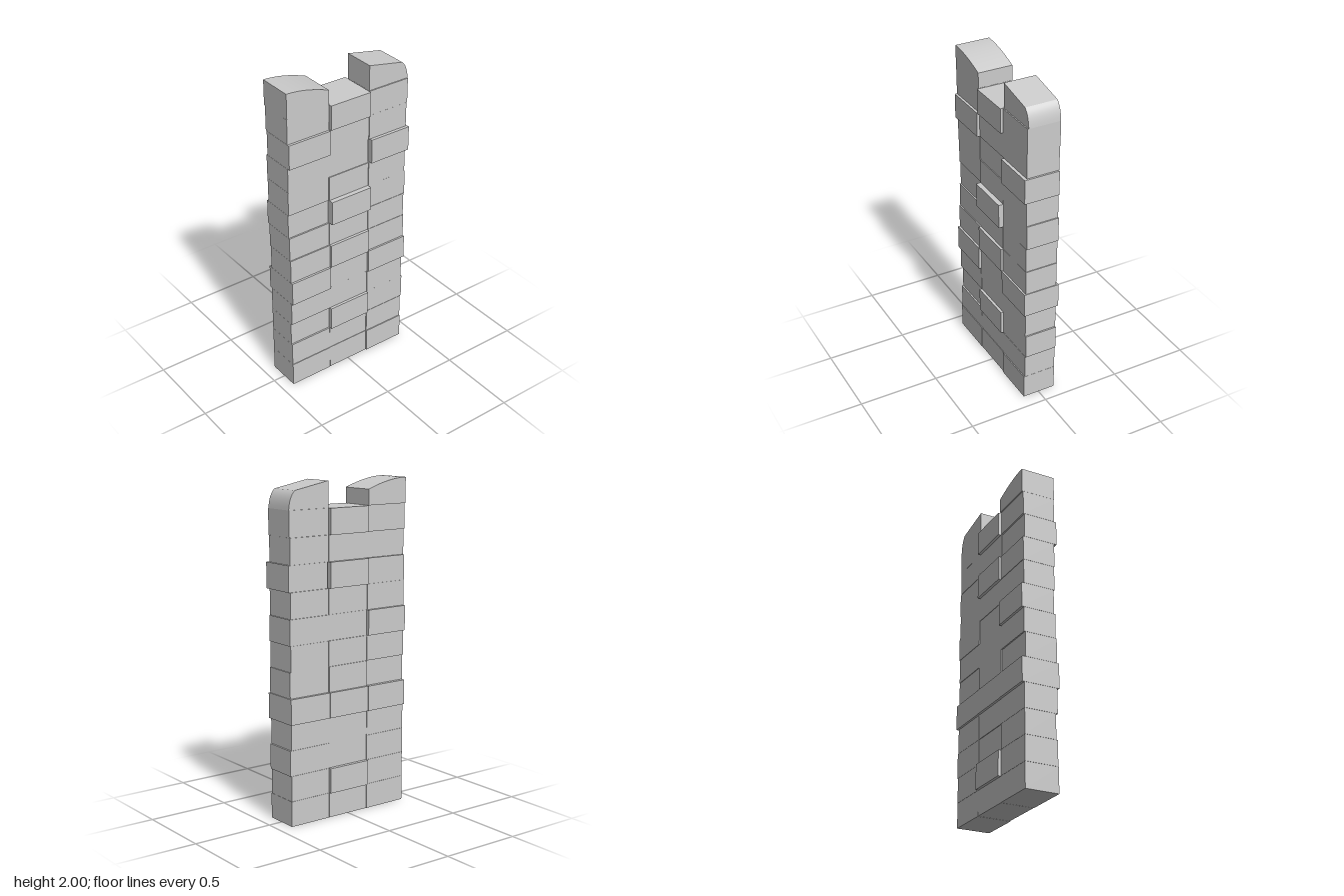
import * as THREE from 'three';
import { toCreasedNormals } from 'three/addons/utils/BufferGeometryUtils.js';

const COURSE = 2 / 13; // height of one course of bricks

// Each column: z range, usual x range, and bricks that stand out or sit back [x min, x max, z min, z max]
const COLUMNS = [
  {
    name: 'front', z: [0.142, 0.422], x: [-0.11, 0.098], courses: 12,
    odd: {
      1: [-0.11, 0.095], 2: [-0.11, 0.086], 4: [-0.124, 0.112], 5: [-0.103, 0.1],
      6: [-0.11, 0.094], 7: [-0.124, 0.086], 8: [-0.11, 0.092], 9: [-0.112, 0.095],
      10: [-0.102, 0.112], 11: [-0.11, 0.098],
    },
  },
  {
    name: 'middle', z: [-0.14, 0.14], x: [-0.108, 0.096], courses: 12,
    odd: {
      1: [-0.125, 0.094], 2: [-0.105, 0.112], 4: [-0.122, 0.097], 5: [-0.11, 0.112],
      7: [-0.106, 0.125], 9: [-0.125, 0.092], 11: [-0.126, 0.112, -0.138, 0.136],
    },
  },
  {
    name: 'back', z: [-0.412, -0.143], x: [-0.108, 0.097], courses: 12,
    odd: {
      0: [-0.108, 0.102], 2: [-0.108, 0.096, -0.42, -0.143], 4: [-0.12, 0.108, -0.42, -0.143],
      5: [-0.105, 0.098, -0.416, -0.143], 7: [-0.11, 0.096, -0.418, -0.143],
      9: [-0.106, 0.115, -0.422, -0.15], 11: [-0.108, 0.098, -0.416, -0.143],
    },
  },
];

export function createModel() {
  const wall = new THREE.Group();
  wall.name = 'brickPillar';
  const stone = new THREE.MeshStandardMaterial({ color: 0xcccccc });

  const add = (parent, geometry, name) => {
    const mesh = new THREE.Mesh(geometry, stone);
    mesh.name = name;
    parent.add(mesh);
    return mesh;
  };

  // Stacked bricks
  for (const col of COLUMNS) {
    const group = new THREE.Group();
    group.name = `${col.name}Column`;
    wall.add(group);
    for (let i = 0; i < col.courses; i++) {
      const [x0, x1, z0 = col.z[0], z1 = col.z[1]] = col.odd[i] ?? col.x;
      const brick = add(group, new THREE.BoxGeometry(x1 - x0, COURSE - 0.001, z1 - z0), `${col.name}Brick${i + 1}`);
      brick.position.set((x0 + x1) / 2, (i + 0.5) * COURSE, (z0 + z1) / 2);
    }
  }

  // Worn top stones: a z-y profile swept across x
  const addCap = (profile, x0, x1, name) => {
    const geometry = new THREE.ExtrudeGeometry(profile, { depth: x1 - x0, bevelEnabled: false, curveSegments: 8 });
    geometry.rotateY(-Math.PI / 2).translate(x1, 0, 0);
    add(wall, toCreasedNormals(geometry, 0.35), name);
  };
  const base = 12 * COURSE;

  const frontProfile = new THREE.Shape();
  frontProfile.moveTo(0.142, base);
  frontProfile.lineTo(0.422, base);
  frontProfile.lineTo(0.422, 2);
  frontProfile.quadraticCurveTo(0.3, 2, 0.142, 1.94);
  frontProfile.closePath();
  addCap(frontProfile, -0.118, 0.1, 'frontTopStone');

  const backProfile = new THREE.Shape();
  backProfile.moveTo(-0.418, base);
  backProfile.lineTo(-0.143, base);
  backProfile.lineTo(-0.143, 2);
  backProfile.lineTo(-0.375, 1.955);
  backProfile.quadraticCurveTo(-0.412, 1.925, -0.418, base);
  backProfile.closePath();
  addCap(backProfile, -0.107, 0.092, 'backTopStone');

  return wall;
}
